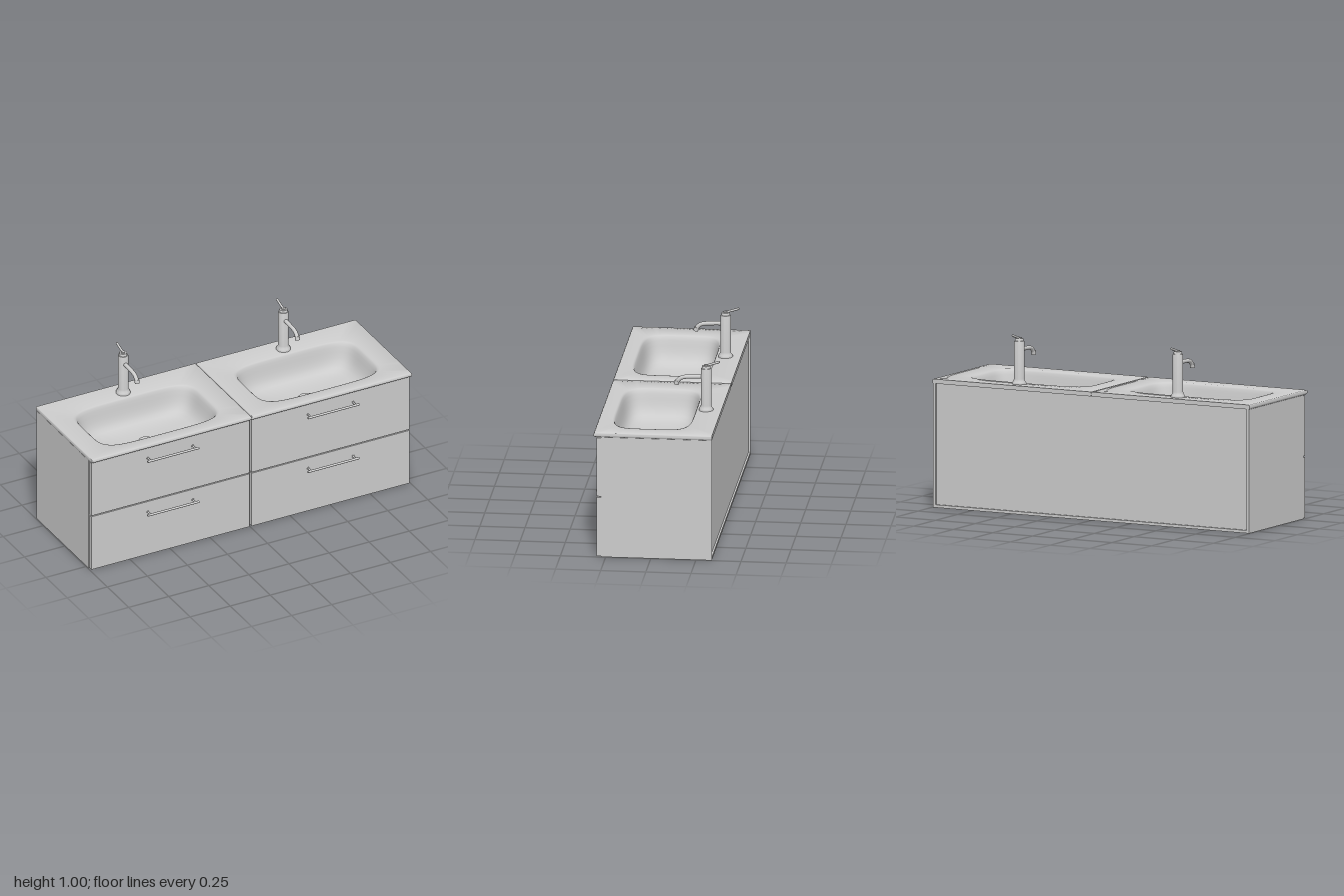
import * as THREE from 'three';
import { toCreasedNormals } from 'three/addons/utils/BufferGeometryUtils.js';

const material = new THREE.MeshStandardMaterial({ color: 0xcccccc, roughness: 0.6, side: THREE.DoubleSide });

function add(parent, name, geometry, x = 0, y = 0, z = 0) {
  const mesh = new THREE.Mesh(geometry, material);
  mesh.name = name;
  mesh.position.set(x, y, z);
  parent.add(mesh);
  return mesh;
}

// Box given by its minimum and maximum corners
function box(parent, name, [x0, y0, z0], [x1, y1, z1]) {
  return add(parent, name, new THREE.BoxGeometry(x1 - x0, y1 - y0, z1 - z0),
    (x0 + x1) / 2, (y0 + y1) / 2, (z0 + z1) / 2);
}

// Cylinder running between two points
function rod(parent, name, from, to, radius, endRadius = radius, sides = 20) {
  const a = new THREE.Vector3(...from), b = new THREE.Vector3(...to);
  const mesh = add(parent, name, new THREE.CylinderGeometry(endRadius, radius, a.distanceTo(b), sides));
  mesh.position.copy(a).add(b).multiplyScalar(0.5);
  mesh.quaternion.setFromUnitVectors(new THREE.Vector3(0, 1, 0), b.sub(a).normalize());
  return mesh;
}

// Skin through loops that all have the same number of points
function loft(loops) {
  const n = loops[0].length, index = [];
  for (let i = 0; i < loops.length - 1; i++) {
    for (let k = 0; k < n; k++) {
      const a = i * n + k, b = i * n + (k + 1) % n;
      index.push(a, b, b + n, a, b + n, a + n);
    }
  }
  const geometry = new THREE.BufferGeometry();
  geometry.setAttribute('position', new THREE.Float32BufferAttribute(loops.flat(2), 3));
  geometry.setIndex(index);
  return toCreasedNormals(geometry, 0.75);
}

// Points round a unit square, anticlockwise from above
const SIDE = 28;
const square = [];
for (let s = 0; s < 4; s++) {
  for (let k = 0; k < SIDE; k++) {
    const t = Math.tan((k / SIDE - 0.5) * Math.PI / 2);
    square.push([[1, -t], [-t, -1], [-1, t], [t, 1]][s]);
  }
}

// Slab edge: rounded in front, softened at the sides, square at the back
function slabLoop(inset, y) {
  return square.map(([u, v]) => [
    u * (0.499 - inset * 0.4), y,
    v > 0 ? -0.01 + v * (0.328 - inset) : -0.01 + v * 0.328,
  ]);
}

// Rounded rectangle of the bowl
function bowlLoop(scale, y, power) {
  return square.map(([u, v]) => {
    const r = scale / Math.pow(Math.abs(u) ** power + Math.abs(v) ** power, 1 / power);
    return [u * r * 0.375, y, 0.018 + v * r * 0.218];
  });
}

function basinGeometry() {
  const loops = [square.map(([u, v]) => [u * 0.46, 0.69, -0.01 + v * 0.28])];
  for (let i = 0; i <= 6; i++) {
    const a = (i / 6 - 0.5) * Math.PI;
    loops.push(slabLoop(0.0125 * (1 - Math.cos(a)), 0.7025 + 0.0125 * Math.sin(a)));
  }
  const profile = [
    [1.03, 0.711], [1, 0.708], [0.98, 0.7], [0.96, 0.682], [0.94, 0.655], [0.915, 0.625],
    [0.88, 0.597], [0.83, 0.575], [0.76, 0.56], [0.65, 0.55], [0.45, 0.543], [0.2, 0.54], [0.001, 0.54],
  ];
  for (const [scale, y] of profile) loops.push(bowlLoop(scale, y, 3 + 2 * Math.min(scale, 1)));
  return loft(loops);
}

function faucet() {
  const group = new THREE.Group();
  group.name = 'faucet';
  // Turned body with flared foot and stepped cap
  const body = [
    [0, 0.711], [0.04, 0.711], [0.04, 0.718], [0.037, 0.724], [0.031, 0.733], [0.029, 0.742],
    [0.029, 0.947], [0.027, 0.952], [0.023, 0.953], [0.023, 0.963], [0.021, 0.967], [0, 0.967],
  ].map(([r, y]) => new THREE.Vector2(r, y));
  add(group, 'faucetBody', toCreasedNormals(new THREE.LatheGeometry(body, 32), 0.6), 0, 0, -0.253);
  // Spout bending down to the nozzle
  const path = new THREE.CatmullRomCurve3([
    [-0.24, 0.904], [-0.18, 0.902], [-0.135, 0.899], [-0.112, 0.892], [-0.097, 0.878], [-0.09, 0.866],
  ].map(([z, y]) => new THREE.Vector3(0, y, z)));
  add(group, 'spout', new THREE.TubeGeometry(path, 28, 0.0115, 16));
  rod(group, 'nozzle', [0, 0.876, -0.092], [0, 0.856, -0.087], 0.0135);
  // Lever rising to the back
  rod(group, 'leverPost', [0, 0.96, -0.253], [0, 0.973, -0.253], 0.012);
  const lever = rod(group, 'lever', [0, 0.968, -0.255], [0, 0.99, -0.324], 0.0065, 0.0065);
  const tip = add(group, 'leverTip', new THREE.SphereGeometry(0.0065, 16, 10), 0, 0.99, -0.324);
  tip.quaternion.copy(lever.quaternion);
  return group;
}

function drawer(y0, y1, handleY) {
  const group = new THREE.Group();
  group.name = 'drawer';
  box(group, 'drawerFront', [-0.493, y0, 0.276], [0.493, y1, 0.3]);
  // Bar handle on two posts
  rod(group, 'handleBar', [-0.16, handleY, 0.334], [0.16, handleY, 0.334], 0.0065);
  for (const x of [-0.14, 0.14]) {
    rod(group, 'handlePost', [x, handleY, 0.298], [x, handleY, 0.334], 0.005);
    rod(group, 'handleFoot', [x, handleY, 0.299], [x, handleY, 0.304], 0.008);
  }
  return group;
}

export function createModel() {
  const model = new THREE.Group();
  model.name = 'doubleVanity';

  // Carcass with a slightly recessed back and dividers behind the drawers
  const cabinet = new THREE.Group();
  cabinet.name = 'cabinet';
  model.add(cabinet);
  for (const s of [-1, 1]) {
    const x = s * 0.988;
    box(cabinet, 'sidePanel', [x - 0.008, 0, -0.338], [x + 0.008, 0.69, 0.275]);
  }
  box(cabinet, 'bottomPanel', [-0.98, 0, -0.338], [0.98, 0.016, 0.275]);
  box(cabinet, 'backPanel', [-0.98, 0.016, -0.328], [0.98, 0.69, -0.318]);
  box(cabinet, 'divider', [-0.012, 0.016, -0.318], [0.012, 0.69, 0.27]);
  box(cabinet, 'middleRail', [-0.98, 0.33, 0.24], [0.98, 0.36, 0.27]);
  box(cabinet, 'topRail', [-0.98, 0.66, 0.24], [0.98, 0.69, 0.27]);

  // Two equal units side by side
  const basin = basinGeometry();
  for (const s of [-1, 1]) {
    const unit = new THREE.Group();
    unit.name = s < 0 ? 'rightUnit' : 'leftUnit';
    unit.position.x = s * 0.5;
    add(unit, 'basin', basin);
    add(unit, 'drain', new THREE.CylinderGeometry(0.044, 0.048, 0.008, 32), 0, 0.543, 0.02);
    unit.add(faucet(), drawer(0.004, 0.342, 0.275), drawer(0.348, 0.684, 0.619));
    model.add(unit);
  }
  return model;
}
